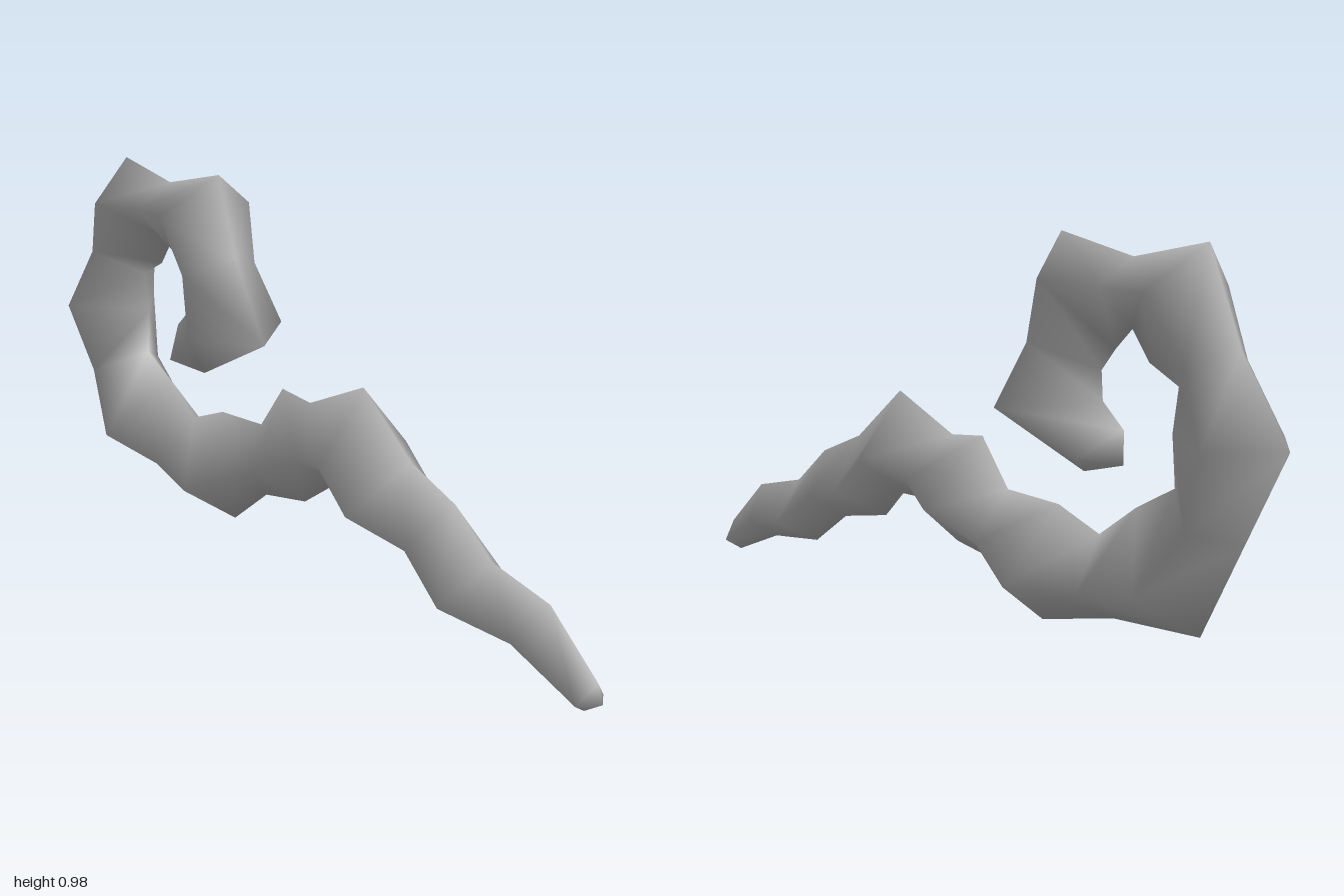
import * as THREE from 'three';

// Cross-sections from the curled end to the tail tip:
// [outer ridge x, y, inner ridge x, y, half width in z]
const SECTIONS = [
  [-0.43, 0.43, -0.55, 0.54, 0.08],
  [-0.165, 0.565, -0.485, 0.60, 0.152],
  [-0.28, 0.77, -0.48, 0.67, 0.117],
  [-0.35, 0.98, -0.52, 0.72, 0.145],
  [-0.57, 0.93, -0.57, 0.77, 0.11],
  [-0.78, 0.97, -0.62, 0.70, 0.145],
  [-0.87, 0.75, -0.705, 0.655, 0.105],
  [-1.0, 0.55, -0.69, 0.55, 0.145],
  [-0.89, 0.33, -0.70, 0.43, 0.11],
  [-0.78, 0.11, -0.59, 0.37, 0.145],
  [-0.53, 0.10, -0.48, 0.29, 0.11],
  [-0.30, 0.05, -0.35, 0.34, 0.153],
  [-0.16, 0.16, -0.18, 0.35, 0.10],
  [0.0, 0.19, -0.09, 0.47, 0.145],
  [0.13, 0.28, 0.02, 0.46, 0.10],
  [0.22, 0.28, 0.22, 0.55, 0.142],
  [0.28, 0.21, 0.39, 0.41, 0.142],
  [0.45, 0.18, 0.54, 0.35, 0.103],
  [0.58, 0.09, 0.66, 0.25, 0.117],
  [0.77, 0.07, 0.84, 0.21, 0.075],
  [0.95, 0.0, 0.985, 0.08, 0.045],
];
const CURL_END = [-0.55, 0.46, 0];
const TAIL_END = [1.0, 0.035, 0];
const SIDE_AT = 0.38; // side ridges sit this far from the outer to the inner ridge

function tendrilGeometry() {
  const pos = [], index = [];
  // Four-cornered rings: outer, front, inner, back
  for (const [ox, oy, ix, iy, w] of SECTIONS) {
    const sx = ox + (ix - ox) * SIDE_AT, sy = oy + (iy - oy) * SIDE_AT;
    pos.push(ox, oy, 0, sx, sy, w, ix, iy, 0, sx, sy, -w);
  }
  const n = SECTIONS.length;
  // Skin between rings, with diagonals mirrored front to back
  for (let i = 0; i < n - 1; i++) {
    for (let k = 0; k < 4; k++) {
      const a = i * 4 + k, b = i * 4 + (k + 1) % 4, c = a + 4, d = b + 4;
      if (k % 2) index.push(a, c, b, b, c, d);
      else index.push(a, d, b, a, c, d);
    }
  }
  // Pointed caps at both ends
  pos.push(...CURL_END, ...TAIL_END);
  const head = n * 4, tail = head + 1, last = (n - 1) * 4;
  for (let k = 0; k < 4; k++) {
    const m = (k + 1) % 4;
    index.push(head, k, m, tail, last + m, last + k);
  }
  const geo = new THREE.BufferGeometry();
  geo.setAttribute('position', new THREE.Float32BufferAttribute(pos, 3));
  geo.setIndex(index);
  geo.computeVertexNormals();
  return geo;
}

export function createModel() {
  const group = new THREE.Group();
  group.name = 'curledTendril';
  const grey = new THREE.MeshStandardMaterial({ color: 0xa6a6a6 });
  grey.name = 'grey';
  const body = new THREE.Mesh(tendrilGeometry(), grey);
  body.name = 'tendril';
  group.add(body);
  return group;
}
